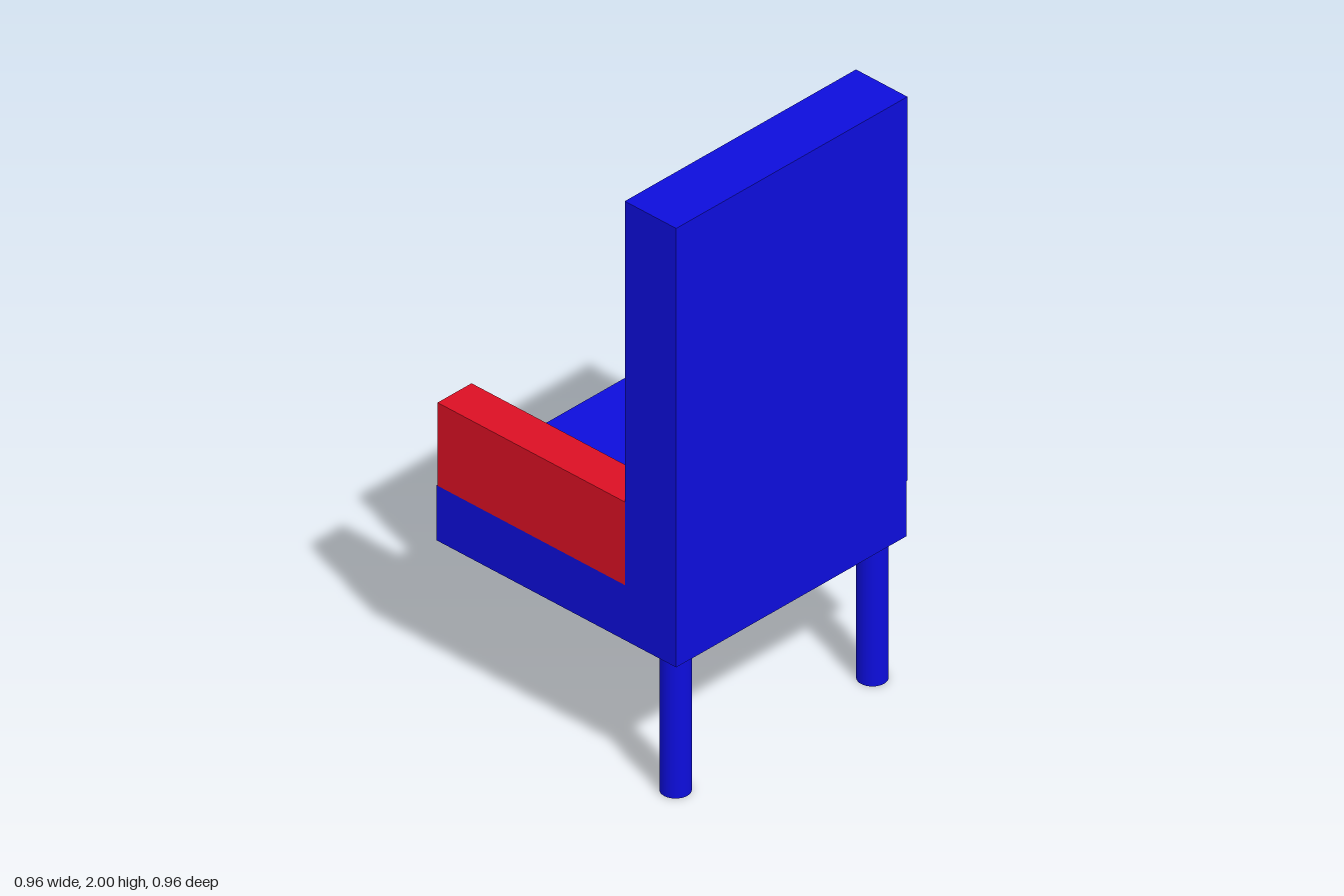
import * as THREE from 'three';

export function createModel() {
  const model = new THREE.Group();
  model.name = 'armchair';

  const blue = new THREE.MeshStandardMaterial({ color: 0x0d0ddc });
  blue.name = 'blue';
  const red = new THREE.MeshStandardMaterial({ color: 0xdc1024 });
  red.name = 'red';

  // Box given by its lower and upper corners
  function box(name, material, [x0, y0, z0], [x1, y1, z1]) {
    const mesh = new THREE.Mesh(new THREE.BoxGeometry(x1 - x0, y1 - y0, z1 - z0), material);
    mesh.position.set((x0 + x1) / 2, (y0 + y1) / 2, (z0 + z1) / 2);
    mesh.name = name;
    model.add(mesh);
  }

  const seatBottom = 0.485, seatTop = 0.675, backFace = 0.274;

  // Seat slab and tall backrest
  box('seat', blue, [-0.48, seatBottom, -0.48], [0.476, seatTop, 0.48]);
  box('backrest', blue, [-0.48, seatTop, backFace], [0.48, 2, 0.48]);

  // Armrests
  box('rightArmrest', red, [-0.48, seatTop, -0.476], [-0.339, 0.962, backFace]);
  box('leftArmrest', red, [0.335, seatTop, -0.476], [0.478, 0.962, backFace]);

  // Three round legs; one corner has none
  const legGeometry = new THREE.CylinderGeometry(0.047, 0.047, seatBottom, 32);
  const legs = [
    ['rightBackrestLeg', -0.412, 0.412],
    ['leftBackrestLeg', 0.405, 0.412],
    ['leftArmLeg', 0.405, -0.407],
  ];
  for (const [name, x, z] of legs) {
    const leg = new THREE.Mesh(legGeometry, blue);
    leg.position.set(x, seatBottom / 2, z);
    leg.name = name;
    model.add(leg);
  }

  return model;
}
